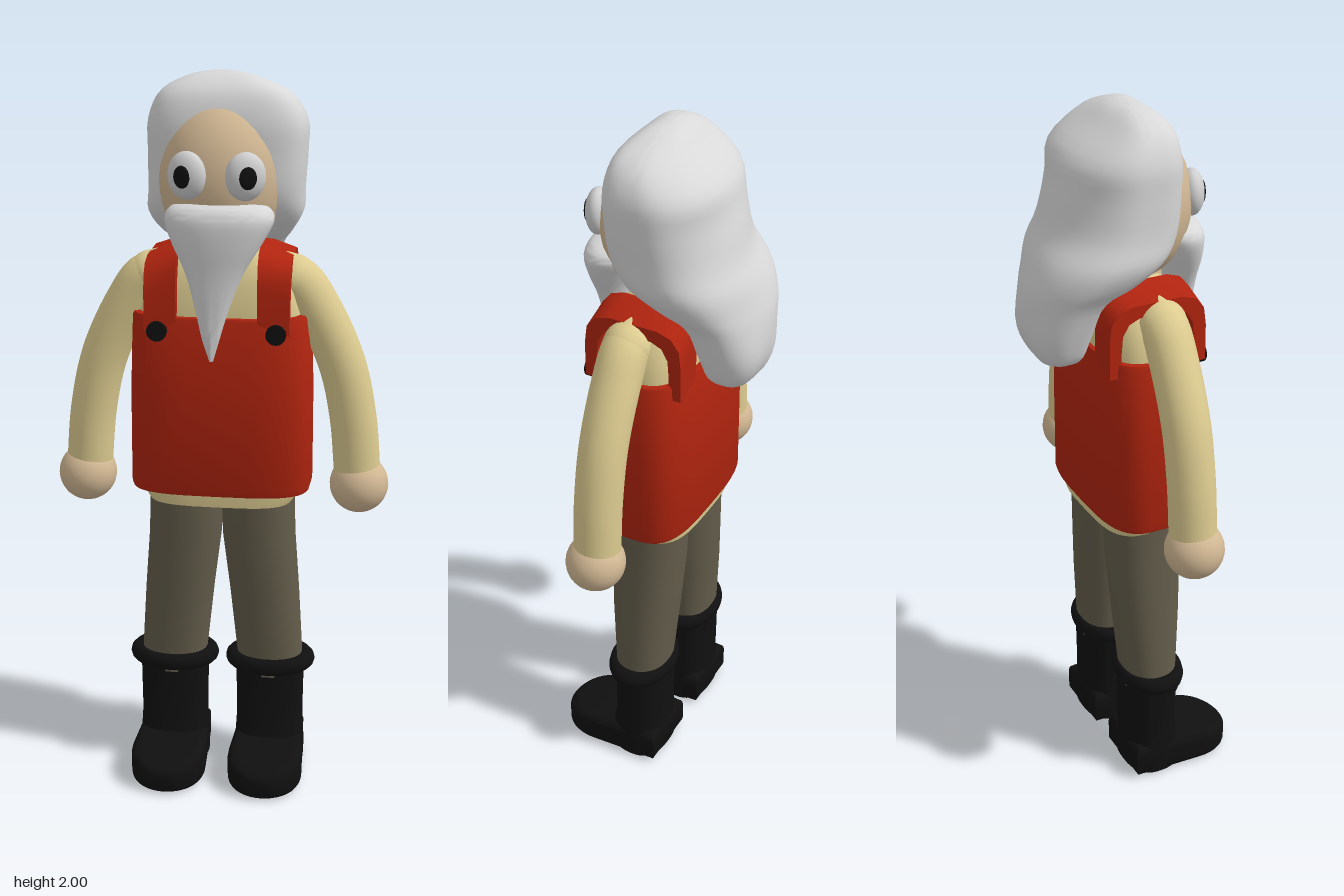
import * as THREE from 'three';
import { toCreasedNormals } from 'three/addons/utils/BufferGeometryUtils.js';

const paint = (name, color) => {
  const m = new THREE.MeshStandardMaterial({ color });
  m.name = name;
  return m;
};

// Loft of horizontal rings [y, xMin, xMax, zBack, zFront], listed bottom to top.
// nf and nb set how square the front and back halves are.
function loft(rows, nf = 2, nb = nf, seg = 40, bump = () => 0) {
  const pos = [], idx = [];
  const pow = (v, n) => Math.sign(v) * Math.abs(v) ** (2 / n);
  for (const [y, x0, x1, z0, z1] of rows) {
    for (let j = 0; j < seg; j++) {
      const t = (j / seg) * Math.PI * 2, c = Math.cos(t), s = Math.sin(t), n = s > 0 ? nf : nb;
      const b = bump(t, y);
      pos.push((x0 + x1) / 2 + pow(c, n) * (x1 - x0) / 2 + c * b, y,
        (z0 + z1) / 2 + pow(s, n) * (z1 - z0) / 2 + s * b);
    }
  }
  const last = (rows.length - 1) * seg, low = pos.length / 3;
  for (const [y, x0, x1, z0, z1] of [rows[0], rows[rows.length - 1]]) pos.push((x0 + x1) / 2, y, (z0 + z1) / 2);
  for (let j = 0; j < seg; j++) {
    const k = (j + 1) % seg;
    for (let i = 0; i < last; i += seg) {
      idx.push(i + j, i + seg + j, i + k, i + k, i + seg + j, i + seg + k);
    }
    idx.push(low, j, k, low + 1, last + k, last + j);
  }
  const g = new THREE.BufferGeometry();
  g.setAttribute('position', new THREE.Float32BufferAttribute(pos, 3));
  g.setIndex(idx);
  return toCreasedNormals(g, 0.9);
}

// Resamples the rings along smooth splines.
function smooth(rows, count) {
  const curves = rows[0].map((_, k) => new THREE.SplineCurve(rows.map((r, i) => new THREE.Vector2(i, r[k]))));
  return Array.from({ length: count + 1 }, (_, i) => curves.map((c) => c.getPoint(i / count).y));
}

export function createModel() {
  const model = new THREE.Group();
  const skin = paint('skin', 0xd2b894), hairWhite = paint('white hair', 0xd8d8d8);
  const red = paint('red vest', 0xb0240f), cream = paint('cream shirt', 0xdccb90);
  const olive = paint('olive trousers', 0x625c4a), black = paint('black', 0x101010);
  const eyeWhite = paint('eye white', 0xcfcfcf);

  const add = (name, geo, mat, x = 0, y = 0, z = 0, parent = model) => {
    const m = new THREE.Mesh(geo, mat);
    m.name = name;
    m.position.set(x, y, z);
    parent.add(m);
    return m;
  };
  const ball = new THREE.SphereGeometry(1, 32, 20);

  // Head and neck
  add('face', ball, skin, 0, 1.735, 0.035).scale.set(0.17, 0.21, 0.155);
  add('neck', new THREE.CylinderGeometry(0.085, 0.1, 0.16, 24), skin, 0, 1.58, 0.02);

  // Hair: full crown running into a long tail behind the back
  const hairRows = [
    [1.325, -0.04, 0.04, -0.205, -0.16],
    [1.35, -0.085, 0.09, -0.25, -0.13],
    [1.42, -0.115, 0.12, -0.278, -0.11],
    [1.52, -0.15, 0.15, -0.27, -0.075],
    [1.57, -0.185, 0.18, -0.26, 0.0],
    [1.63, -0.208, 0.21, -0.24, 0.075],
    [1.7, -0.2, 0.215, -0.2, 0.112],
    [1.8, -0.198, 0.222, -0.172, 0.12],
    [1.88, -0.195, 0.22, -0.155, 0.12],
    [1.95, -0.16, 0.175, -0.075, 0.1],
    [1.988, -0.09, 0.085, -0.03, 0.06],
    [2.0, -0.03, 0.03, 0.0, 0.03],
  ];
  const lumps = (t, y) => (Math.sin(t) < 0 ? 0.007 * Math.sin(3 * t + 9 * y) * Math.sin(t) ** 2 * Math.sin(17 * y) : 0);
  add('hair', loft(smooth(hairRows, 40), 3.6, 2.1, 48, lumps), hairWhite);

  // Beard
  const beardRows = [
    [1.27, -0.014, -0.004, 0.18, 0.192],
    [1.33, -0.034, 0.013, 0.168, 0.2],
    [1.4, -0.05, 0.034, 0.155, 0.205],
    [1.5, -0.077, 0.072, 0.135, 0.212],
    [1.58, -0.115, 0.12, 0.1, 0.221],
    [1.64, -0.135, 0.15, 0.07, 0.222],
    [1.67, -0.12, 0.135, 0.07, 0.208],
    [1.682, -0.085, 0.095, 0.1, 0.185],
  ];
  add('beard', loft(smooth(beardRows, 28), 2.2), hairWhite);

  // Shirt and vest
  add('shirt', loft([
    [0.84, -0.2, 0.2, -0.108, 0.145],
    [0.88, -0.225, 0.225, -0.112, 0.148],
    [1.38, -0.22, 0.22, -0.105, 0.138],
    [1.46, -0.205, 0.205, -0.1, 0.13],
    [1.52, -0.165, 0.165, -0.08, 0.11],
    [1.56, -0.08, 0.08, -0.04, 0.075],
  ], 3.5), cream);
  add('vest', loft([
    [0.875, -0.246, 0.246, -0.12, 0.155],
    [0.89, -0.25, 0.25, -0.125, 0.16],
    [1.15, -0.248, 0.248, -0.125, 0.16],
    [1.365, -0.24, 0.24, -0.122, 0.158],
    [1.375, -0.236, 0.236, -0.118, 0.154],
  ], 3.5), red);

  // Shoulder strap: an arched band, sloping down towards the arm
  const outer = [[0.158, 1.36], [0.157, 1.46], [0.15, 1.51], [0.125, 1.54], [0.085, 1.553],
    [-0.055, 1.553], [-0.095, 1.54], [-0.118, 1.51], [-0.123, 1.46], [-0.123, 1.36]];
  const inner = outer.map(([z, y]) => [0.0175 + (z - 0.0175) * 0.76, y > 1.4 ? y - 0.035 : y]).reverse();
  const strapShape = new THREE.Shape([...outer, ...inner].map(([z, y]) => new THREE.Vector2(z, y)));
  const strapFor = (side) => {
    const g = new THREE.ExtrudeGeometry(strapShape, { depth: 0.085, bevelEnabled: false });
    g.translate(0, 0, -0.0425).rotateY(-Math.PI / 2).translate(0.15 * side, 0, 0);
    const p = g.attributes.position;
    for (let i = 0; i < p.count; i++) p.setY(i, p.getY(i) - (Math.abs(p.getX(i)) - 0.12) * 0.35);
    return toCreasedNormals(g, 0.7);
  };

  // Foot: rounded sole outline with a domed toe
  const sole = new THREE.Shape();
  sole.moveTo(-0.07, 0.03).lineTo(0.07, 0.03).lineTo(0.08, -0.15);
  sole.bezierCurveTo(0.09, -0.285, -0.09, -0.285, -0.08, -0.15);
  const foot = new THREE.ExtrudeGeometry(sole, {
    depth: 0.06, bevelThickness: 0.025, bevelSize: 0.026, bevelSegments: 5, curveSegments: 20,
  });
  foot.rotateX(-Math.PI / 2).translate(0, 0.028, 0);
  const fp = foot.attributes.position;
  for (let i = 0; i < fp.count; i++) {
    const z = fp.getZ(i), toe = THREE.MathUtils.clamp((z - 0.06) / 0.22, 0, 1);
    fp.setY(i, 0.003 + (fp.getY(i) - 0.003) * (1 - 0.35 * toe ** 2));
  }
  const footGeo = toCreasedNormals(foot, 0.8);

  for (const side of [1, -1]) {
    const s = side > 0 ? 'left' : 'right';

    // Eye with a thin pupil, turned slightly outwards
    const eye = new THREE.Group();
    eye.name = s + 'Eye';
    eye.position.set(side * 0.075 + 0.003, 1.755, 0.174);
    eye.rotation.y = side * 0.33;
    model.add(eye);
    add(s + 'Eyeball', ball, eyeWhite, 0, 0, 0, eye).scale.set(0.053, 0.062, 0.033);
    add(s + 'Pupil', ball, black, 0, 0, 0.029, eye).scale.set(0.023, 0.029, 0.007);

    // Strap and button
    add(s + 'Strap', strapFor(side), red);
    add(s + 'Button', new THREE.CylinderGeometry(0.027, 0.027, 0.022, 20).rotateX(Math.PI / 2), black,
      side * 0.158, 1.34, 0.157);

    // Sleeve and hand
    const path = [[0.15, 1.475], [0.205, 1.455], [0.255, 1.385], [0.325, 1.235], [0.36, 1.08], [0.376, 0.92]];
    const arm = new THREE.CatmullRomCurve3(path.map(([x, y]) => new THREE.Vector3(side * x, y, 0.028)));
    add(s + 'Sleeve', new THREE.TubeGeometry(arm, 32, 0.064, 24), cream);
    add(s + 'Shoulder', ball, cream, side * 0.19, 1.462, 0.028).scale.setScalar(0.066);
    add(s + 'Hand', ball, skin, side * 0.382, 0.887, 0.03).scale.setScalar(0.081);

    // Trouser leg
    const leg = [[0.3, 0.14, 0.094, 0.076], [0.36, 0.138, 0.094, 0.078], [0.55, 0.122, 0.098, 0.093],
      [0.72, 0.105, 0.102, 0.103], [0.86, 0.1, 0.102, 0.107]];
    add(s + 'TrouserLeg', loft(leg.map(([y, x, rx, rz]) =>
      [y, side * x - rx, side * x + rx, 0.021 - rz, 0.021 + rz]), 2.3), olive);

    // Boot
    const boot = new THREE.Group();
    boot.name = s + 'Boot';
    boot.position.x = side * 0.14;
    model.add(boot);
    add(s + 'BootShaft', loft([
      [0.01, -0.1, 0.1, -0.055, 0.1],
      [0.06, -0.102, 0.102, -0.055, 0.11],
      [0.11, -0.098, 0.098, -0.053, 0.105],
      [0.15, -0.096, 0.096, -0.052, 0.096],
      [0.34, -0.098, 0.098, -0.055, 0.097],
    ], 2.6), black, 0, 0, 0, boot);
    add(s + 'Foot', footGeo, black, 0, 0, 0, boot);
    add(s + 'BootCuff', new THREE.TorusGeometry(0.104, 0.025, 12, 36).rotateX(Math.PI / 2), black,
      0, 0.335, 0.024, boot).scale.z = 0.75;
  }
  return model;
}
